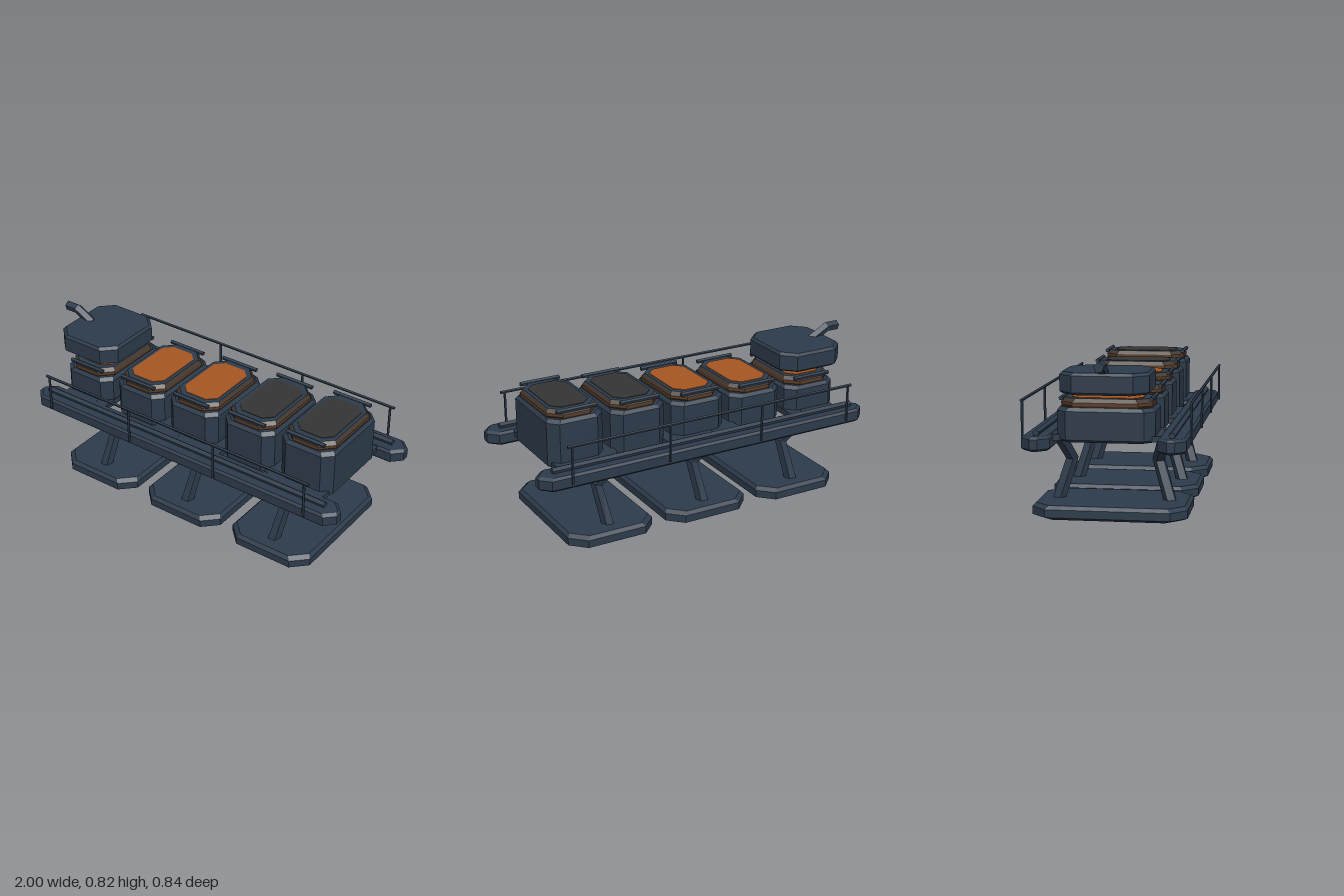
import * as THREE from 'three';

const mat = (name, color) => {
  const m = new THREE.MeshStandardMaterial({ color, flatShading: true });
  m.name = name;
  return m;
};

// Skin between equal-sized rings, with both ends capped
function loft(rings) {
  const pos = [];
  const tri = (...pts) => pts.forEach((p) => pos.push(p.x, p.y, p.z));
  const n = rings[0].length;
  for (let i = 0; i < rings.length - 1; i++) {
    for (let j = 0; j < n; j++) {
      const k = (j + 1) % n;
      const a = rings[i][j], b = rings[i][k], c = rings[i + 1][k], d = rings[i + 1][j];
      tri(a, b, c);
      tri(a, c, d);
    }
  }
  const first = rings[0], last = rings[rings.length - 1];
  for (let j = 1; j < n - 1; j++) {
    tri(first[0], first[j + 1], first[j]);
    tri(last[0], last[j], last[j + 1]);
  }
  const g = new THREE.BufferGeometry();
  g.setAttribute('position', new THREE.Float32BufferAttribute(pos, 3));
  g.computeVertexNormals();
  return g;
}

// Octagonal slab; each layer is [y, inset]
function slab(width, depth, corner, layers) {
  return loft(layers.map(([y, inset]) => {
    const w = width / 2 - inset, d = depth / 2 - inset, c = corner;
    return [[w, d - c], [w, c - d], [w - c, -d], [c - w, -d], [-w, c - d], [-w, d - c], [c - w, d], [w - c, d]]
      .map(([x, z]) => new THREE.Vector3(x, y, z));
  }));
}

// Mitred five-sided bar along a polyline; ref points to the apex of its section
function bar(points, radius, ref) {
  const p = points.map((q) => new THREE.Vector3(...q));
  const up = new THREE.Vector3(...ref);
  return loft(p.map((q, i) => {
    const t = new THREE.Vector3();
    if (i > 0) t.add(q.clone().sub(p[i - 1]).normalize());
    if (i < p.length - 1) t.add(p[i + 1].clone().sub(q).normalize());
    t.normalize();
    const n = up.clone().addScaledVector(t, -up.dot(t)).normalize();
    const b = t.clone().cross(n);
    return Array.from({ length: 5 }, (_, j) => {
      const a = (j / 5) * Math.PI * 2;
      return q.clone().addScaledVector(n, radius * Math.cos(a)).addScaledVector(b, radius * Math.sin(a));
    });
  }));
}

export function createModel() {
  const navy = mat('navy steel', 0x2d3b4b);
  const rust = mat('rust band', 0x5a3d27);
  const umber = mat('dark umber', 0x43382f);
  const orange = mat('orange liquid', 0xa65622);
  const grey = mat('dark grey liquid', 0x363534);
  const Y = [0, 1, 0], Z = [0, 0, 1];

  const model = new THREE.Group();
  model.name = 'walkingVatCarrier';
  const add = (parent, name, geometry, material, x = 0, y = 0, z = 0) => {
    const m = new THREE.Mesh(geometry, material);
    m.name = name;
    m.position.set(x, y, z);
    parent.add(m);
    return m;
  };

  // Five vats, each a little taller than the one before
  for (let i = 0; i < 5; i++) {
    const vat = new THREE.Group();
    vat.name = 'vat' + (i + 1);
    vat.position.x = -0.685 + i * 0.3525;
    model.add(vat);
    const top = 0.575 + i * 0.023;
    add(vat, 'vatBody', slab(0.308, 0.482, 0.05,
      [[0.405, 0.015], [0.418, 0], [top - 0.018, 0], [top, 0.014]]), navy);
    add(vat, 'rimBand', slab(0.28, 0.45, 0.065, [[top, 0.004], [top + 0.008, 0], [top + 0.023, 0]]), rust);
    add(vat, 'rimBevel', slab(0.28, 0.45, 0.065, [[top + 0.023, 0], [top + 0.04, 0.012]]), umber);
    add(vat, 'rimTop', slab(0.256, 0.426, 0.06, [[top + 0.04, 0], [top + 0.043, 0.002]]), navy);
    add(vat, 'liquid', slab(0.214, 0.35, 0.045, [[top + 0.042, 0], [top + 0.046, 0]]), i < 3 ? orange : grey);
    for (const s of [-1, 1]) {
      add(vat, 'rimHandle', bar([[-0.11, 0, 0], [0.11, 0, 0]], 0.012, Y), navy, 0, top + 0.042, s * 0.22);
    }
  }

  // Raised lid with its bent spout
  const lid = new THREE.Group();
  lid.name = 'headLid';
  model.add(lid);
  add(lid, 'lidShell', slab(0.386, 0.436, 0.07,
    [[0.645, 0.014], [0.657, 0], [0.738, 0], [0.752, 0.012]]), navy, -0.718);
  add(lid, 'spout', bar([[-1, 0.79, 0], [-0.93, 0.79, 0], [-0.83, 0.735, 0]], 0.027, Y), navy);

  // Cross plates joining the side beams under the vats
  for (const [x, w] of [[-0.665, 0.28], [0.02, 0.43], [0.69, 0.35]]) {
    add(model, 'crossPlate', new THREE.BoxGeometry(w, 0.03, 0.56), navy, x, 0.425, 0);
  }

  for (const s of [-1, 1]) {
    // Side beam with a ridge along its top
    add(model, 'sideBeam', slab(1.93, 0.14, 0.05,
      [[0.37, 0.012], [0.382, 0], [0.431, 0], [0.443, 0.012]]), navy, 0.035, 0, s * 0.33);
    add(model, 'beamRidge', bar([[-0.87, 0.453, s * 0.33], [0.92, 0.453, s * 0.33]], 0.018, Y), navy);

    // Handrail on four posts
    const rail = new THREE.Group();
    rail.name = 'handrail';
    rail.position.z = s * 0.414;
    model.add(rail);
    add(rail, 'handrailBar', bar([[-0.81, 0.603, 0], [0.87, 0.603, 0]], 0.008, Y), navy);
    for (let i = 0; i < 4; i++) {
      const x = -0.79 + i * 0.545;
      add(rail, 'handrailPost', bar([[x, 0.4, 0], [x, 0.603, 0]], 0.007, Z), navy);
    }
  }

  // Three broad feet, each carrying a mirrored pair of bent legs
  for (let i = 0; i < 3; i++) {
    const stand = new THREE.Group();
    stand.name = 'footAndLegs' + (i + 1);
    stand.position.x = -0.527 + i * 0.5615;
    model.add(stand);
    add(stand, 'foot', slab(0.482, 0.778, 0.078,
      [[0, 0.03], [0.016, 0], [0.056, 0], [0.074, 0.016]]), navy);
    for (const s of [-1, 1]) {
      add(stand, 'leg', bar([[0, 0.05, s * 0.29], [0.032, 0.277, s * 0.223], [-0.09, 0.42, s * 0.27]],
        0.034, [0, 0, -s]), navy);
    }
  }
  return model;
}
